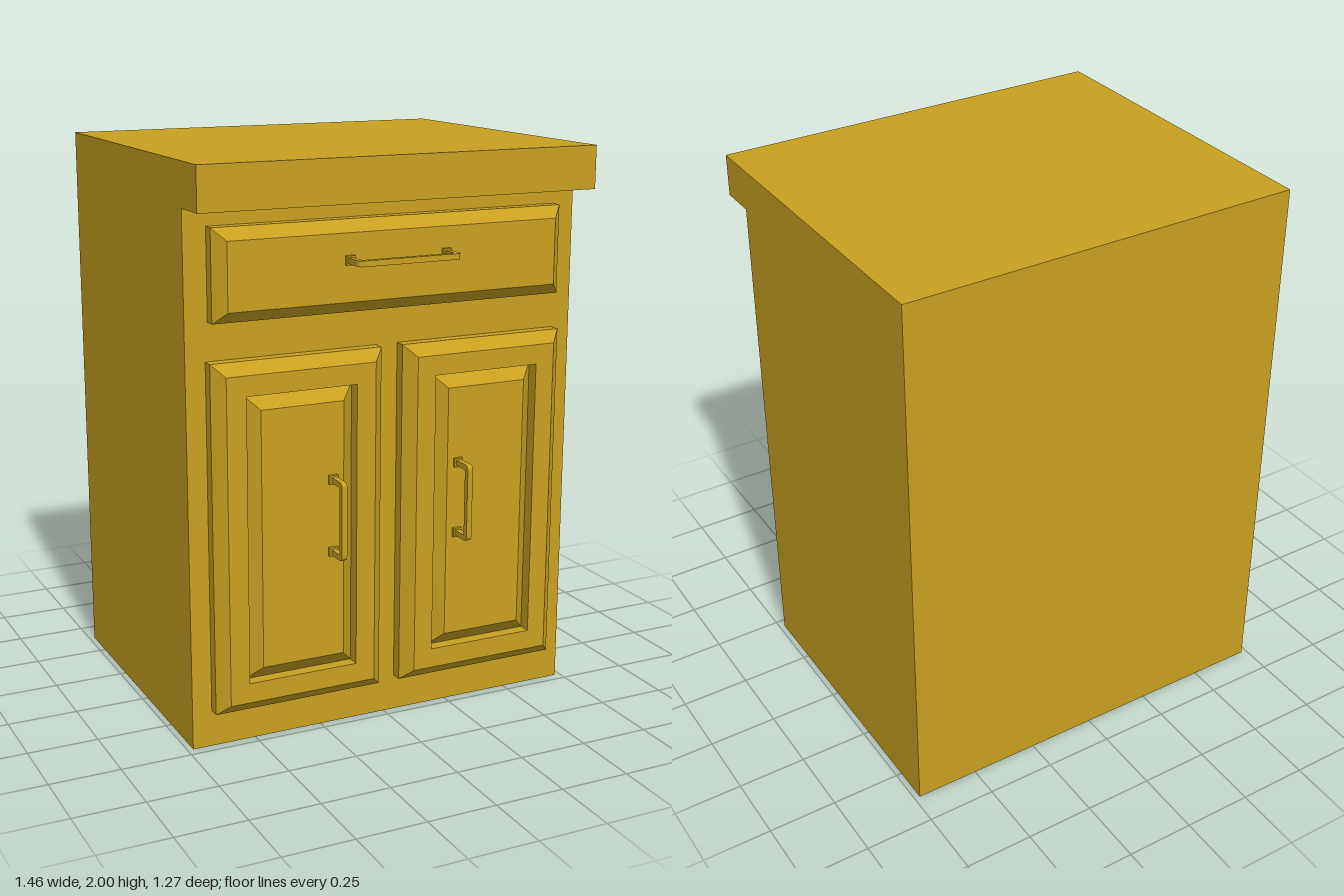
import * as THREE from 'three';

const material = new THREE.MeshStandardMaterial({ color: 0xc8a020, flatShading: true });
const FACE = 0.465;  // front of the carcass
const FRONT = 0.545; // front of the doors and drawer

function addMesh(parent, name, geometry) {
  const mesh = new THREE.Mesh(geometry, material);
  mesh.name = name;
  parent.add(mesh);
  return mesh;
}

// Moulded rectangular panel: each step is [inset from the outline, z], closed by a flat centre
function panelGeometry(w, h, steps) {
  const positions = [];
  const rings = steps.map(([inset, z]) => {
    const x = w / 2 - inset, y = h / 2 - inset;
    return [[-x, -y, z], [x, -y, z], [x, y, z], [-x, y, z]];
  });
  const quad = (a, b, c, d) => positions.push(...a, ...b, ...c, ...a, ...c, ...d);
  for (let i = 0; i + 1 < rings.length; i++) {
    for (let k = 0; k < 4; k++) {
      const n = (k + 1) % 4;
      quad(rings[i][k], rings[i][n], rings[i + 1][n], rings[i + 1][k]);
    }
  }
  quad(...rings[rings.length - 1]);
  const geometry = new THREE.BufferGeometry();
  geometry.setAttribute('position', new THREE.Float32BufferAttribute(positions, 3));
  geometry.computeVertexNormals();
  return geometry;
}

// Pull handle along x, standing out along +z from z = 0
function makeHandle(name, span) {
  const handle = new THREE.Group();
  handle.name = name;
  const t = 0.02, reach = 0.09, o = span / 2 + t / 2, i = o - t, r = 0.02, ri = 0.006;
  const shape = new THREE.Shape();
  shape.moveTo(-o, 0);
  shape.lineTo(-i, 0);
  shape.lineTo(-i, reach - t - ri);
  shape.quadraticCurveTo(-i, reach - t, -i + ri, reach - t);
  shape.lineTo(i - ri, reach - t);
  shape.quadraticCurveTo(i, reach - t, i, reach - t - ri);
  shape.lineTo(i, 0);
  shape.lineTo(o, 0);
  shape.lineTo(o, reach - r);
  shape.quadraticCurveTo(o, reach, o - r, reach);
  shape.lineTo(-o + r, reach);
  shape.quadraticCurveTo(-o, reach, -o, reach - r);
  const bar = new THREE.ExtrudeGeometry(shape, { depth: t, bevelEnabled: false, curveSegments: 4 });
  bar.translate(0, 0, -t / 2).rotateX(Math.PI / 2);
  addMesh(handle, 'handleBar', bar);
  for (const side of [-1, 1]) {
    const foot = addMesh(handle, 'handleFoot', new THREE.BoxGeometry(0.032, 0.032, 0.012));
    foot.position.set(side * span / 2, 0, 0.006);
  }
  return handle;
}

export function createModel() {
  const cabinet = new THREE.Group();
  cabinet.name = 'cabinet';

  // Carcass with overhanging top, extruded across x from its side profile
  const profile = new THREE.Shape([
    [0.635, 0], [0.635, 2], [-0.6, 2], [-0.6, 1.85], [-FACE, 1.85], [-FACE, 0],
  ].map(([z, y]) => new THREE.Vector2(z, y)));
  const carcass = new THREE.ExtrudeGeometry(profile, { depth: 1.46, bevelEnabled: false });
  carcass.translate(0, 0, -0.73).rotateY(Math.PI / 2);
  addMesh(cabinet, 'carcass', carcass);

  // Drawer front with chamfered rim
  const rim = [[0, FACE], [0, 0.505], [0.04, FRONT]];
  const drawer = addMesh(cabinet, 'drawerFront', panelGeometry(1.3, 0.31, rim));
  drawer.position.y = 1.635;
  const drawerHandle = makeHandle('drawerHandle', 0.36);
  drawerHandle.position.set(0, 1.66, FRONT);
  cabinet.add(drawerHandle);

  // Pair of doors, each with a raised centre field inside a groove
  const doorSteps = [...rim, [0.11, FRONT], [0.11, 0.5], [0.16, FRONT]];
  for (const side of [-1, 1]) {
    const prefix = side > 0 ? 'left' : 'right';
    const door = addMesh(cabinet, prefix + 'Door', panelGeometry(0.62, 1.22, doorSteps));
    door.position.set(side * 0.35, 0.74, 0);
    const handle = makeHandle(prefix + 'DoorHandle', 0.255);
    handle.rotation.z = Math.PI / 2;
    handle.position.set(side * 0.24, 0.795, FRONT);
    cabinet.add(handle);
  }
  return cabinet;
}
